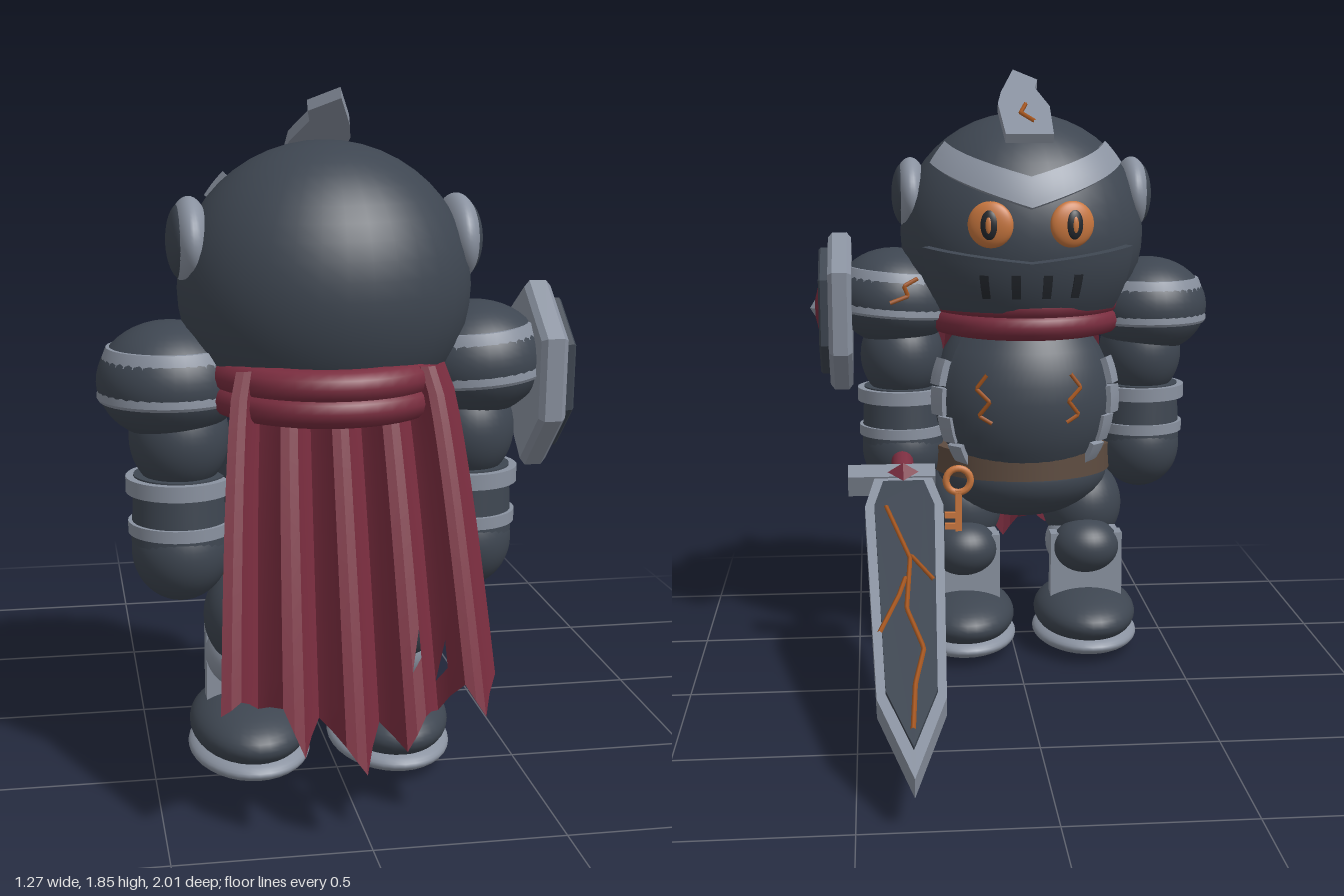
import * as THREE from 'three';
import { toCreasedNormals } from 'three/addons/utils/BufferGeometryUtils.js';

const mat = (name, color, side = THREE.FrontSide) =>
  Object.assign(new THREE.MeshStandardMaterial({ color, side }), { name });
const M = {
  dark: mat('dark steel', 0x3e4651), silver: mat('silver', 0x8a92a0),
  red: mat('red cloth', 0x7a2d3f, THREE.DoubleSide), amber: mat('amber eyes', 0xc9773f),
  crack: mat('glowing crack', 0xa5561f), brown: mat('leather', 0x5e4c40), black: mat('slot black', 0x24282e),
};
const V = (x, y, z) => new THREE.Vector3(x, y, z);
const HEAD = { c: V(0, 1.34, 0.475), r: V(0.385, 0.375, 0.355) };
const CHEST = { c: V(0, 0.82, 0.45), r: V(0.29, 0.3, 0.255) };

function add(parent, name, geo, m, x = 0, y = 0, z = 0) {
  const mesh = new THREE.Mesh(geo, m);
  mesh.name = name;
  mesh.position.set(x, y, z);
  parent.add(mesh);
  return mesh;
}
function ball(parent, name, m, x, y, z, rx, ry, rz) {
  const mesh = add(parent, name, new THREE.SphereGeometry(1, 36, 24), m, x, y, z);
  mesh.scale.set(rx, ry, rz);
  return mesh;
}
const box = (parent, name, m, x, y, z, w, h, d) => add(parent, name, new THREE.BoxGeometry(w, h, d), m, x, y, z);
function plate(points, depth, bevel = 0) {
  const shape = new THREE.Shape(points.map(([x, y]) => new THREE.Vector2(x, y)));
  return new THREE.ExtrudeGeometry(shape, {
    depth, bevelEnabled: bevel > 0, bevelSize: bevel, bevelThickness: bevel, bevelOffset: -bevel, bevelSegments: 1,
  });
}
// Thin glowing line through a few points
function crack(parent, pts, r = 0.007) {
  const curve = new THREE.CatmullRomCurve3(pts, false, 'catmullrom', 0);
  return add(parent, 'crack', new THREE.TubeGeometry(curve, pts.length * 8, r, 5), M.crack);
}
// Point on an ellipsoid facing -z; azimuth and elevation in degrees
function onBody({ c, r }, az, el, k = 1) {
  const a = az * Math.PI / 180, e = el * Math.PI / 180;
  return V(c.x + k * r.x * Math.cos(e) * Math.sin(a), c.y + k * r.y * Math.sin(e),
    c.z - k * r.z * Math.cos(e) * Math.cos(a));
}
// Curved armour shell following an ellipsoid between two elevation rules
function shell(body, az0, az1, low, high, k, cols = 24, rows = 8) {
  const pos = [], idx = [], loop = 2 * rows + 3, inner = 0.96;
  for (let i = -1; i <= cols + 1; i++) {
    const t = Math.min(Math.max(i / cols, 0), 1), end = i < 0 || i > cols;
    for (let j = 0; j < loop; j++) {
      const out = j <= rows;
      const f = out ? j / rows : j === loop - 1 ? 0 : (2 * rows + 1 - j) / rows;
      const kk = j === loop - 1 ? (end ? inner : k) : out && !end ? k : inner;
      const el = low(t) + (high(t) - low(t)) * f;
      pos.push(...onBody(body, az0 + (az1 - az0) * t, el, kk).toArray());
    }
  }
  for (let i = 0; i < cols + 2; i++) for (let j = 0; j < loop - 1; j++) {
    const a = i * loop + j, b = a + 1, c = a + loop, d = c + 1;
    idx.push(a, b, c, b, d, c);
  }
  const g = new THREE.BufferGeometry();
  g.setAttribute('position', new THREE.Float32BufferAttribute(pos, 3));
  g.setIndex(idx);
  return toCreasedNormals(g, 0.6);
}

function buildHead(g) {
  ball(g, 'head', M.dark, 0, 1.34, 0.475, 0.385, 0.375, 0.355);
  const rise = t => Math.abs(t * 2 - 1);
  add(g, 'brow', shell(HEAD, -60, 60, t => 14 + 20 * rise(t), t => 28 + 18 * rise(t), 1.07), M.silver);
  add(g, 'visor', shell(HEAD, -52, 52, () => -34, t => -10 + 6 * rise(t), 1.07), M.dark);
  for (const az of [-21, -7, 7, 21])
    add(g, 'visorSlot', shell(HEAD, az - 2, az + 2, () => -26, () => -15, 1.08, 2, 4), M.black);
  for (const s of [-1, 1]) {
    // Eyes
    const eye = new THREE.Group();
    eye.name = 'eye';
    eye.position.copy(onBody(HEAD, s * 18.5, 7, 1.01));
    eye.rotation.y = -s * 0.28;
    g.add(eye);
    ball(eye, 'iris', M.amber, 0, 0, 0, 0.07, 0.07, 0.026);
    ball(eye, 'pupil', M.black, 0, 0, -0.014, 0.031, 0.047, 0.018);
    ball(eye, 'glint', M.amber, 0, 0, -0.025, 0.012, 0.028, 0.009);
    // Ear caps: silver lens with a dark face
    ball(g, 'earRim', M.silver, s * 0.352, 1.46, 0.48, 0.055, 0.115, 0.145);
    ball(g, 'earCap', M.dark, s * 0.372, 1.46, 0.48, 0.04, 0.098, 0.123);
  }
  // Broken crest plate leaning over the crown
  const crest = new THREE.Group();
  crest.name = 'crest';
  crest.position.set(0, 1.635, 0.22);
  crest.rotation.x = Math.PI / 2 - 0.45;
  g.add(crest);
  add(crest, 'crestPlate', plate([[-0.075, 0], [0.07, 0], [0.08, 0.21], [0.065, 0.29], [0.015, 0.455],
    [-0.058, 0.38], [-0.045, 0.32], [-0.08, 0.19]], 0.03), M.silver, 0, 0, -0.018);
  crack(crest, [V(-0.025, 0.08, -0.02), V(0.015, 0.14, -0.02), V(-0.005, 0.2, -0.02)]);
}

function buildTorso(g) {
  ball(g, 'torso', M.dark, 0, 0.82, 0.45, 0.29, 0.3, 0.255);
  ball(g, 'hips', M.dark, 0, 0.57, 0.47, 0.275, 0.15, 0.235);
  add(g, 'chestPlate', shell(CHEST, -56, 56, () => -38, () => 40, 1.065), M.dark);
  for (const s of [-1, 1]) {
    // Stepped trim pieces down the side of the chest plate
    for (let k = 0; k < 4; k++) {
      const a = s * (66 - 5 * k), e = 24 - 16 * k;
      add(g, 'chestTrim', shell(CHEST, a - 6, a + 6, () => e - 15, () => e, k % 2 ? 1.12 : 1.1, 3, 3), M.silver);
    }
    crack(g, [[26, 18], [32, 10], [23, 3], [30, -5], [22, -9]].map(([p, e]) => onBody(CHEST, s * p, e, 1.07)));
  }
  const belt = add(g, 'belt', new THREE.CylinderGeometry(1, 1, 0.085, 40), M.brown, 0, 0.62, 0.47);
  belt.scale.set(0.285, 1, 0.242);
  // Hanging key
  const key = new THREE.Group();
  key.name = 'key';
  key.position.set(0.22, 0.59, 0.215);
  g.add(key);
  add(key, 'keyRing', new THREE.TorusGeometry(0.038, 0.011, 8, 24), M.amber);
  box(key, 'keyShaft', M.amber, 0, -0.095, 0, 0.02, 0.13, 0.02);
  for (const y of [-0.11, -0.145]) box(key, 'keyTooth', M.amber, 0.02, y, 0, 0.045, 0.018, 0.018);
  // Rolled scarf
  for (const [y, r] of [[1.13, 0.275], [1.07, 0.275]]) {
    const roll = add(g, 'scarf', new THREE.TorusGeometry(r, 0.044, 12, 48), M.red, -0.01, y, 0.5);
    roll.rotation.x = Math.PI / 2;
    roll.scale.y = 1.1;
  }
}

function buildLimbs(g) {
  for (const s of [-1, 1]) {
    const x = s * 0.385, z = 0.475;
    // Shoulder guard
    const guard = new THREE.Group();
    guard.name = 'shoulder';
    guard.position.set(x + s * 0.022, s > 0 ? 1.085 : 1.05, z);
    guard.rotation.z = s > 0 ? 0.08 : 0;
    g.add(guard);
    const rim = [[0.1, 0], [0.185, 0], [0.19, 0.008], [0.187, 0.06], [0.178, 0.105], [0.164, 0.14], [0.14, 0.142]];
    add(guard, 'shoulderBand', toCreasedNormals(new THREE.LatheGeometry(
      rim.map(p => new THREE.Vector2(...p)), 40), 0.6), M.silver);
    ball(guard, 'shoulderDome', M.dark, 0, 0.05, 0, 0.193, 0.158, 0.193).scale.multiplyScalar(0.99);
    if (s > 0) crack(guard, [V(-0.06, 0.13, -0.172), V(-0.02, 0.105, -0.185), V(-0.035, 0.075, -0.189), V(0.02, 0.05, -0.195)]);
    // Arm with bands
    ball(g, 'upperArm', M.dark, x, 0.95, z, 0.132, 0.15, 0.14);
    add(g, 'forearm', new THREE.CylinderGeometry(0.122, 0.13, 0.18, 32), M.dark, x, 0.76, z);
    ball(g, 'hand', M.dark, x, 0.645, z, 0.13, 0.14, 0.135);
    add(g, 'wristBand', new THREE.CylinderGeometry(0.138, 0.138, 0.032, 32), M.silver, x, 0.71, z);
    add(g, 'elbowBand', new THREE.CylinderGeometry(0.143, 0.143, 0.042, 32), M.silver, x, 0.825, z);
    // Leg and boot
    const lx = s * 0.197;
    ball(g, 'thigh', M.dark, lx, 0.45, 0.48, 0.13, 0.145, 0.14);
    ball(g, 'calfGuard', M.silver, lx, 0.33, 0.44, 0.122, 0.105, 0.125);
    ball(g, 'knee', M.dark, lx, 0.335, 0.36, 0.108, 0.088, 0.1);
    box(g, 'greave', M.silver, lx, 0.26, 0.363, 0.23, 0.24, 0.06);
    ball(g, 'boot', M.dark, lx, 0.115, 0.394, 0.163, 0.087, 0.25);
    ball(g, 'sole', M.silver, lx, 0.05, 0.396, 0.168, 0.05, 0.246);
  }
}

// Pleated cape with a ragged hem
function buildCape(g) {
  const hem = [0.36, 0.39, 0.34, 0.37, 0.25, 0.31, 0.27, 0.2, 0.29, 0.25, 0.33, 0.31, 0.4, 0.32, 0.39];
  const folds = [0.036, 0.04, 0.034, -0.012, -0.04, -0.012];
  const cols = (hem.length - 1) * 2, rows = 12, pos = [], idx = [];
  const tears = new Set(['19-9', '22-10']);
  for (let i = 0; i <= cols; i++) {
    const u = i / cols, h = i / 2, h0 = Math.floor(h), h1 = Math.min(h0 + 1, hem.length - 1);
    const bottom = hem[h0] + (hem[h1] - hem[h0]) * (h - h0);
    for (let j = 0; j <= rows; j++) {
      const v = j / rows, w = Math.pow(v, 0.6), y = 1.165 + (bottom - 1.165) * v;
      pos.push((-0.3 - 0.07 * w) * (1 - u) + (0.24 + 0.1 * w) * u, y,
        0.752 + (1.02 - y) * 0.255 + folds[i % 6] * (0.8 + 0.4 * v));
      if (i < cols && j < rows) {
        const a = i * (rows + 1) + j, b = a + 1, c = a + rows + 1, d = c + 1;
        idx.push(a, b, c);
        if (!tears.has(i + '-' + j)) idx.push(b, d, c);
      }
    }
  }
  const geo = new THREE.BufferGeometry();
  geo.setAttribute('position', new THREE.Float32BufferAttribute(pos, 3));
  geo.setIndex(idx);
  add(g, 'cape', toCreasedNormals(geo, 0.3), M.red);
}

function buildSword(g) {
  const s = new THREE.Group();
  s.name = 'sword';
  s.position.set(0.355, 0.575, 0.22);
  s.rotation.x = -(Math.PI / 2 + 0.365);
  g.add(s);
  const outline = [[-0.085, -0.02], [0.085, -0.02], [0.118, 0.15], [0.09, 1.01], [0, 1.3], [-0.09, 1.01], [-0.118, 0.15]];
  const inlay = [[-0.062, 0.03], [0.062, 0.03], [0.09, 0.16], [0.067, 0.99], [0, 1.2], [-0.067, 0.99], [-0.09, 0.16]];
  add(s, 'blade', plate(outline, 0.063), M.silver, 0, 0, -0.0335);
  add(s, 'bladeInlay', plate(inlay, 0.012), M.dark, 0, 0, 0.0285);
  for (const line of [
    [[0, 1.14], [-0.01, 0.97], [-0.037, 0.83], [0.005, 0.66], [-0.01, 0.43], [0.055, 0.17]],
    [[0.08, 0.76], [0.025, 0.6], [0.005, 0.52]], [[-0.075, 0.535], [-0.015, 0.42]],
  ]) crack(s, line.map(([x, y]) => V(x, y, 0.042)), 0.007);
  box(s, 'crossguard', M.silver, 0.035, -0.035, 0, 0.27, 0.07, 0.07);
  const gem = add(s, 'guardGem', new THREE.OctahedronGeometry(0.048), M.red, 0, -0.025, 0.035);
  gem.scale.z = 0.7;
  add(s, 'grip', new THREE.CylinderGeometry(0.035, 0.035, 0.2, 16), M.red, 0, -0.15, 0);
}

function buildShield(g) {
  const s = new THREE.Group();
  s.name = 'shield';
  s.position.set(0.505, 1.1, 0.48);
  s.rotation.y = Math.PI / 2;
  g.add(s);
  const hex = [[0, 0.24], [-0.18, 0.11], [-0.17, -0.11], [0, -0.265], [0.165, -0.13], [0.182, 0.13]];
  add(s, 'shieldRim', plate(hex, 0.045, 0.014), M.silver, 0, 0, 0.015);
  add(s, 'shieldFace', plate(hex.map(p => p.map(v => v * 0.8)), 0.03, 0.006), M.dark, 0, 0, 0.068);
  const gem = add(s, 'shieldGem', new THREE.OctahedronGeometry(1), M.red, 0, 0, 0.1);
  gem.scale.set(0.058, 0.1, 0.025);
  const core = add(s, 'gemCore', new THREE.OctahedronGeometry(1), M.silver, 0, 0, 0.108);
  core.scale.set(0.026, 0.043, 0.027);
}

export function createModel() {
  const root = new THREE.Group();
  root.name = 'armouredKnight';
  const body = new THREE.Group();
  body.name = 'body';
  body.position.x = -0.035;
  root.add(body);
  buildHead(body);
  buildTorso(body);
  buildLimbs(body);
  buildCape(root);
  buildSword(root);
  buildShield(root);
  return root;
}
